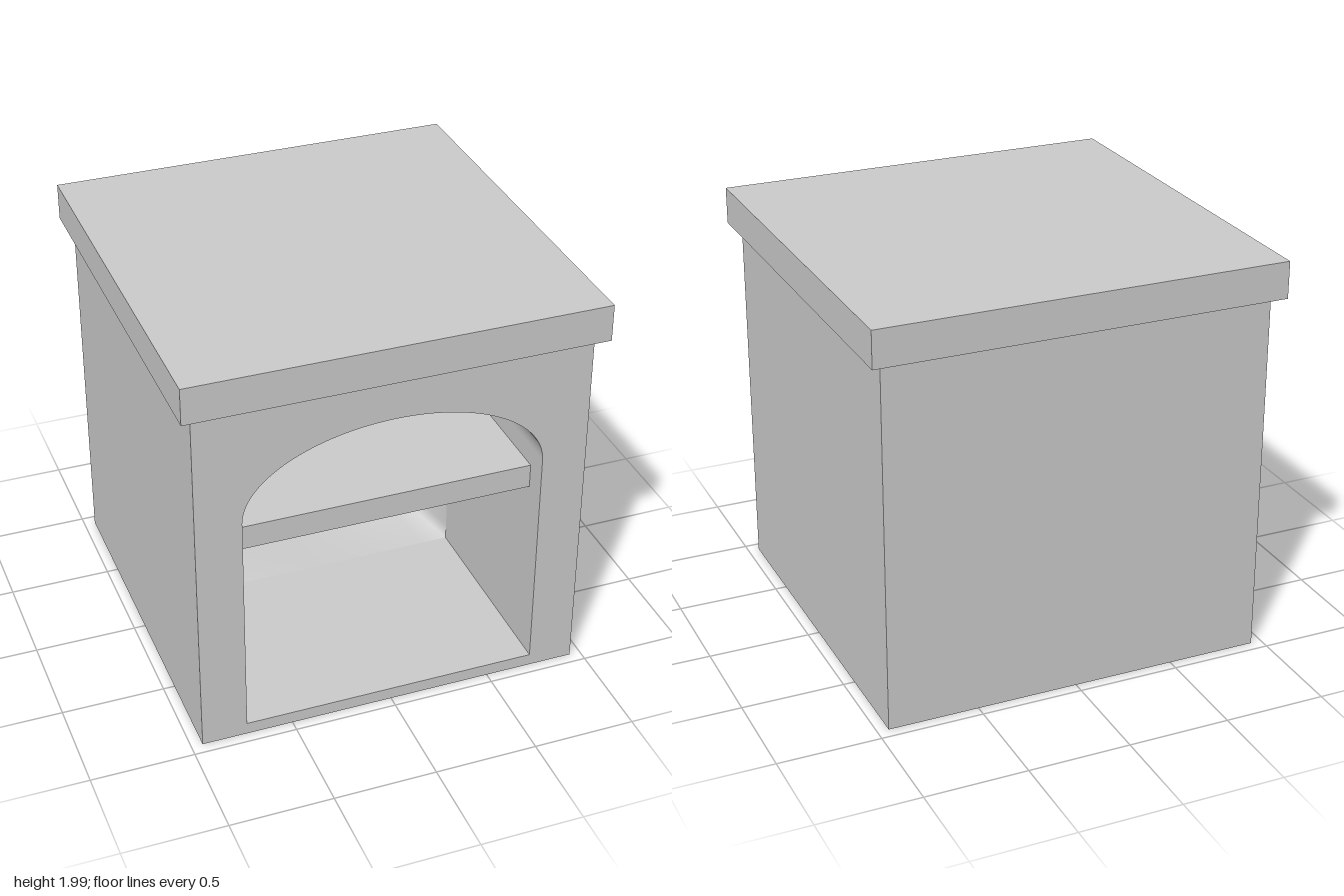
import * as THREE from 'three';

export function createModel() {
  const group = new THREE.Group();
  const material = new THREE.MeshStandardMaterial({ color: 0xcccccc });
  const thin = new THREE.MeshStandardMaterial({ color: 0xcccccc, side: THREE.DoubleSide });

  const add = (name, geometry, mat = material) => {
    const mesh = new THREE.Mesh(geometry, mat);
    mesh.name = name;
    group.add(mesh);
    return mesh;
  };
  // Box given by its lower and upper corners
  const box = (name, x0, x1, y0, y1, z0, z1) =>
    add(name, new THREE.BoxGeometry(x1 - x0, y1 - y0, z1 - z0)
      .translate((x0 + x1) / 2, (y0 + y1) / 2, (z0 + z1) / 2));

  const W = 0.945, H = 1.81;            // body half width and height
  const IN = 0.725, FLOOR = 0.06;       // opening half width and floor
  const SHELF = 0.98;                   // underside of the shelf
  const MID = -0.09, BACK = -0.75;      // end of the arched bay, end of the chamber

  // Front half of the body, with the arched opening running through it
  const frame = new THREE.Shape();
  frame.moveTo(-W, 0).lineTo(W, 0).lineTo(W, H).lineTo(-W, H).closePath();
  const arch = new THREE.Path();
  arch.moveTo(-IN, FLOOR).lineTo(IN, FLOOR).lineTo(IN, 1.2);
  arch.absellipse(0, 1.2, IN, 0.39, 0, Math.PI, false);
  arch.closePath();
  frame.holes.push(arch);
  add('archedBody', new THREE.ExtrudeGeometry(frame, {
    depth: W - MID, bevelEnabled: false, curveSegments: 40,
  }).translate(0, 0, MID));

  // Rear half of the body around the chamber
  box('upperRearBody', -W, W, SHELF, H, -W, MID);
  box('backWall', -W, W, 0, SHELF, -W, BACK);
  box('leftRearWall', IN, W, 0, SHELF, BACK, MID);
  box('rightRearWall', -W, -IN, 0, SHELF, BACK, MID);

  box('shelf', -IN, IN, SHELF, 1.1, MID, 0.83);
  box('topSlab', -1, 1, H, 1.99, -1, 1);

  // Chamber: rectangle blending into an ellipse at the back
  const segs = 64, rings = 8, positions = [], index = [];
  for (let r = 0; r <= rings; r++) {
    const t = r / rings;
    for (let i = 0; i <= segs; i++) {
      const a = (i / segs) * Math.PI * 2, c = Math.cos(a), s = Math.sin(a);
      const m = Math.max(Math.abs(c), Math.abs(s));
      positions.push(
        THREE.MathUtils.lerp((c / m) * IN, c * 0.67, t),
        0.52 + THREE.MathUtils.lerp((s / m) * 0.46, s * 0.43, t),
        THREE.MathUtils.lerp(MID, BACK, t));
      if (r < rings && i < segs) {
        const p = r * (segs + 1) + i, q = p + segs + 1;
        index.push(p, p + 1, q, p + 1, q + 1, q);
      }
    }
  }
  const chamber = new THREE.BufferGeometry();
  chamber.setAttribute('position', new THREE.Float32BufferAttribute(positions, 3));
  chamber.setIndex(index);
  chamber.computeVertexNormals();
  add('chamber', chamber, thin);

  // Underside of the chamber, dipping up to a shallow slot in the middle
  const under = new THREE.PlaneGeometry(2 * IN, MID - BACK, 40, 12)
    .rotateX(Math.PI / 2).translate(0, 0, (MID + BACK) / 2);
  const pos = under.attributes.position;
  for (let i = 0; i < pos.count; i++) {
    const t = (pos.getZ(i) - BACK) / (MID - BACK);
    const ends = Math.min(1, (IN - Math.abs(pos.getX(i))) / 0.07);
    pos.setY(i, 0.05 * t ** 3 * ends);
  }
  under.computeVertexNormals();
  add('underside', under, thin);

  return group;
}
